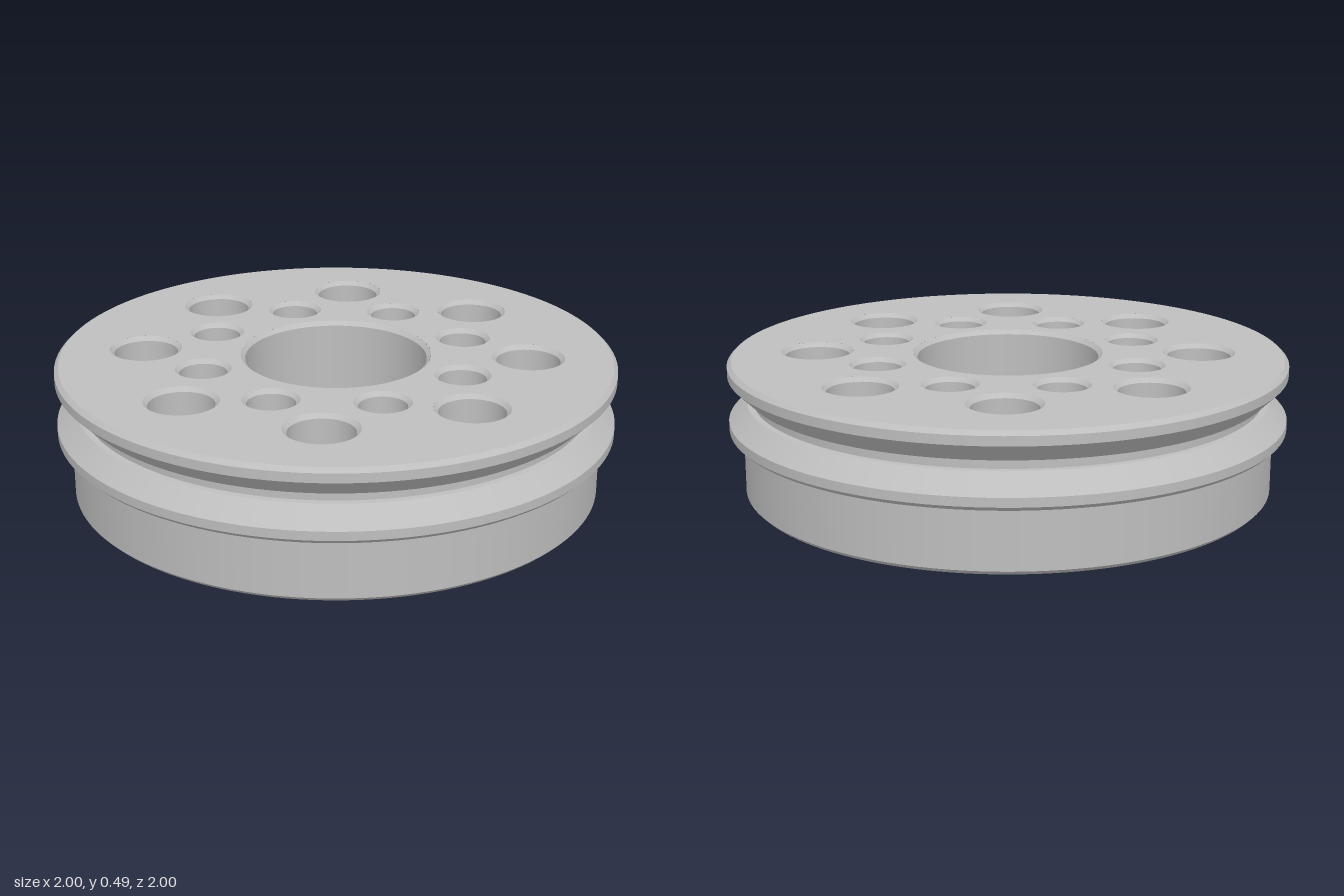
import * as THREE from 'three';
import { mergeGeometries } from 'three/addons/utils/BufferGeometryUtils.js';

const TOP = 0.49, FLOOR = 0.025, CHAMFER = 0.015;
const TOP_RADIUS = 0.985, FLOOR_RADIUS = 0.87;

// Turned surface with a crisp edge at every profile point; rising points face outward
function turned(points, segments) {
  const bands = [];
  for (let i = 0; i < points.length - 1; i++) {
    const pair = [points[i], points[i + 1]].map(([r, y]) => new THREE.Vector2(r, y));
    bands.push(new THREE.LatheGeometry(pair, segments));
  }
  return mergeGeometries(bands);
}

// Flat disc pierced by every hole
function piercedDisc(radius, holes) {
  const shape = new THREE.Shape().absarc(0, 0, radius, 0, Math.PI * 2, false);
  for (const h of holes) {
    shape.holes.push(new THREE.Path().absarc(h.x, h.z, h.r + CHAMFER, 0, Math.PI * 2, true));
  }
  return new THREE.ShapeGeometry(shape, 64);
}

export function createModel() {
  const group = new THREE.Group();
  const metal = new THREE.MeshStandardMaterial({ color: 0xbebebe });
  metal.name = 'grey metal';
  const add = (name, geometry) => {
    const mesh = new THREE.Mesh(geometry, metal);
    mesh.name = name;
    group.add(mesh);
    return mesh;
  };

  // Hole pattern: centre bore, eight large holes and eight small ones between them
  const holes = [{ name: 'centreBore', x: 0, z: 0, r: 0.325 }];
  const ring = (name, r, distance, offset) => {
    for (let i = 0; i < 8; i++) {
      const a = (i * Math.PI) / 4 + offset;
      holes.push({ name, r, x: Math.cos(a) * distance, z: Math.sin(a) * distance });
    }
  };
  ring('largeHole', 0.114, 0.686, 0);
  ring('smallHole', 0.084, 0.49, Math.PI / 8);

  // Hub, lower flange, V groove, upper flange
  add('hub', turned([[FLOOR_RADIUS, FLOOR], [0.905, 0], [0.935, 0], [0.95, 0.015], [0.95, 0.23]], 128));
  add('lowerFlange', turned([[0.95, 0.23], [0.985, 0.23], [1, 0.245], [1, 0.277], [0.935, 0.342], [0.912, 0.342]], 128));
  add('grooveCore', turned([[0.912, 0.342], [0.912, 0.377]], 128));
  add('upperFlange', turned([[0.912, 0.377], [0.935, 0.377], [1, 0.442], [1, 0.475], [TOP_RADIUS, TOP]], 128));

  // Top face and recessed underside
  add('topFace', piercedDisc(TOP_RADIUS, holes).rotateX(-Math.PI / 2).translate(0, TOP, 0));
  add('underside', piercedDisc(FLOOR_RADIUS, holes).rotateX(Math.PI / 2).translate(0, FLOOR, 0));

  // Hole walls, chamfered at both ends
  for (const h of holes) {
    const wide = h.r + CHAMFER;
    const wall = turned([[wide, TOP], [h.r, TOP - CHAMFER], [h.r, FLOOR + CHAMFER], [wide, FLOOR]], 64);
    add(h.name, wall).position.set(h.x, 0, h.z);
  }
  return group;
}
